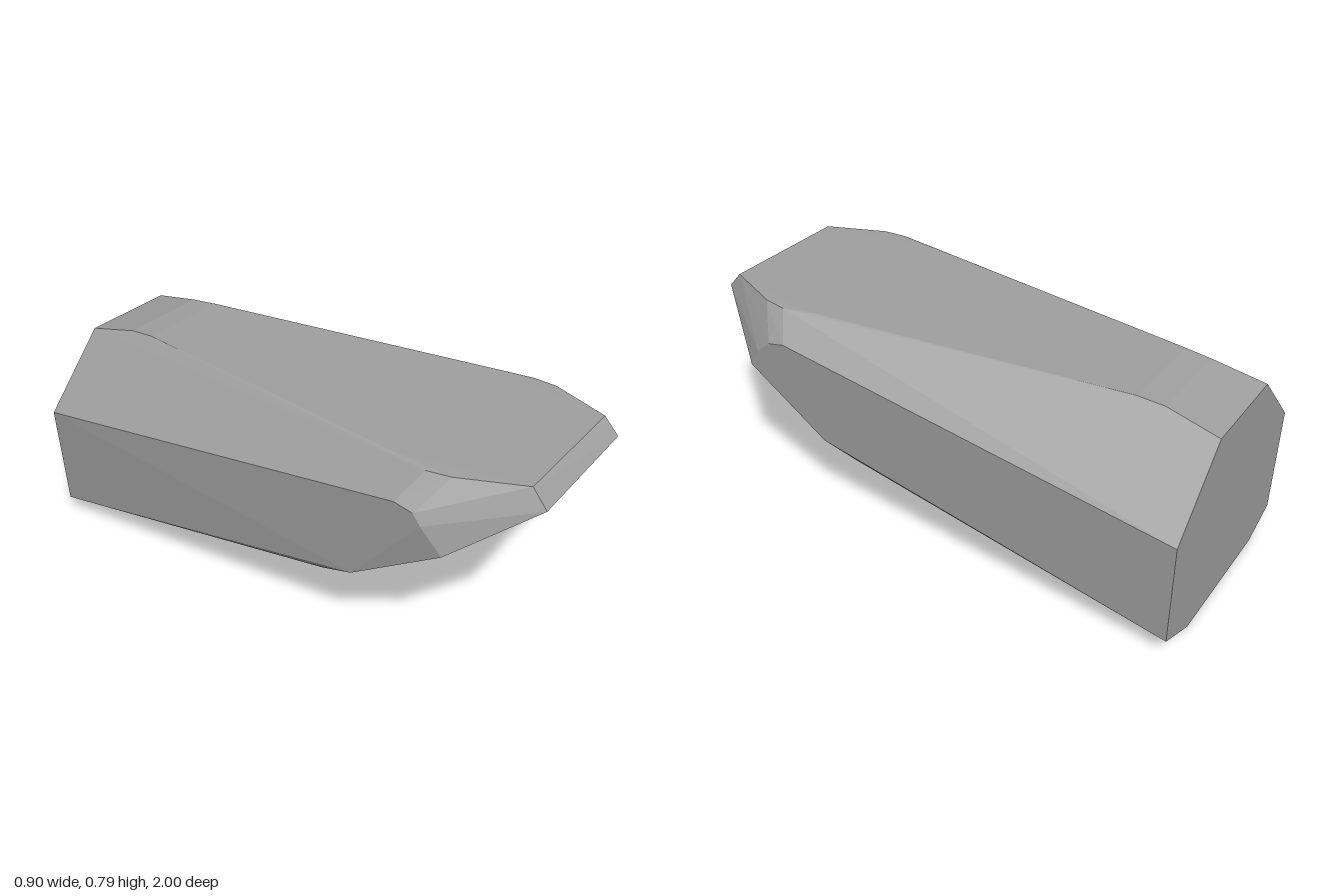
import * as THREE from 'three';
import { ConvexGeometry } from 'three/addons/geometries/ConvexGeometry.js';

export function createModel() {
  const group = new THREE.Group();
  group.name = 'facetedBlock';
  const grey = new THREE.MeshStandardMaterial({ color: 0xa0a0a0 });
  grey.name = 'grey';

  // Corners shared by both sides: half width, height, depth
  const mirrored = [
    [0.27, 0, -1], [0.45, 0.47, -1], [0.19, 0.73, -1],          // rear face
    [0.175, 0.77, -0.8], [0.18, 0.778, -0.7],                   // rear roof bend
    [0.34, 0.785, 0.5], [0.367, 0.78, 0.63], [0.355, 0.783, 0.72], // roof edge
    [0.45, 0.685, 0.57], [0.45, 0.67, 0.64],                    // shoulder curve
    [0.26, 0.785, 0.945],                                      // nose top
    [0.225, 0.657, 0.95],                                      // nose underside
    [0.23, 0.42, 0.6], [0.23, 0.36, 0.5], [0.26, 0.215, 0.17],   // belly
    [0.45, 0.33, 0.41], [0.43, 0.28, 0.28],                     // lower side edge
  ];
  // Slightly uneven corners of each side
  const uneven = [
    [0.45, 0.08, -1], [0.45, 0.55, 0.74], [0.45, 0.62, 0.7], [0.26, 0.725, 1],
    [-0.43, 0.06, -1], [-0.43, 0.53, 0.74], [-0.45, 0.63, 0.67], [-0.26, 0.715, 1],
  ];

  const points = uneven.map((p) => new THREE.Vector3(...p));
  for (const [x, y, z] of mirrored) {
    for (const side of [-1, 1]) points.push(new THREE.Vector3(side * x, y, z));
  }

  // One closed, flat-faced body stretched over the corners
  const body = new THREE.Mesh(new ConvexGeometry(points), grey);
  body.name = 'body';
  group.add(body);
  return group;
}
